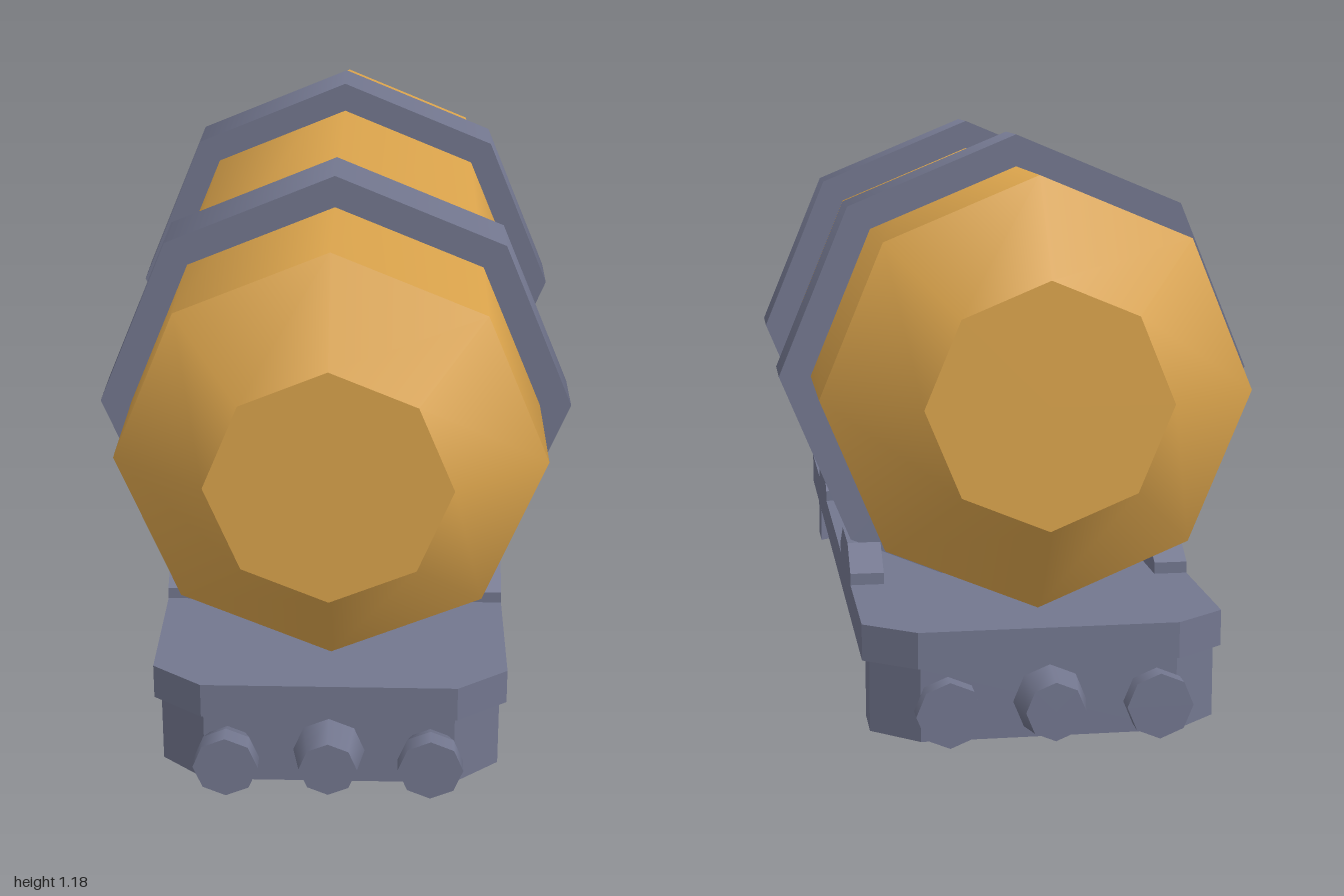
import * as THREE from 'three';

export function createModel() {
  const model = new THREE.Group();
  model.name = 'tankWagon';
  const amber = new THREE.MeshStandardMaterial({ color: 0xdba44c });
  amber.name = 'amber tank paint';
  const steel = new THREE.MeshStandardMaterial({ color: 0x73778f });
  steel.name = 'blue grey steel';

  const add = (name, geometry, material, parent = model) => {
    const mesh = new THREE.Mesh(geometry, material);
    mesh.name = name;
    parent.add(mesh);
    return mesh;
  };
  // Eight-sided drum or cone along z, with a corner at the top
  const drum = (rFront, rBack, z0, z1, open = false) =>
    new THREE.CylinderGeometry(rFront, rBack, z1 - z0, 8, 1, open)
      .rotateX(Math.PI / 2).translate(0, 0, (z0 + z1) / 2);
  // Plan outline of [x, z] points, extruded from y0 to y1
  const plate = (points, y0, y1) => {
    const shape = new THREE.Shape(points.map(([x, z]) => new THREE.Vector2(x, -z)));
    return new THREE.ExtrudeGeometry(shape, { depth: y1 - y0, bevelEnabled: false })
      .rotateX(-Math.PI / 2).translate(0, y0, 0);
  };
  // Rectangle plan with cut corners
  const cutRect = (x, z, cx, cz) => [
    [x, -cz], [x, cz], [cx, z], [-cx, z], [-x, cz], [-x, -cz], [-cx, -z], [cx, -z],
  ];

  // Tank shell with tapered ends
  const tank = new THREE.Group();
  tank.name = 'tank';
  tank.position.y = 0.67;
  model.add(tank);
  add('tankBody', drum(0.445, 0.445, -0.78, 0.78, true), amber, tank);
  for (const s of [1, -1]) {
    const end = add('tankEnd', drum(0.25, 0.445, 0.78, 0.925), amber, tank);
    if (s < 0) end.rotation.y = Math.PI;
    // Strap round the tank
    add('tankStrap', drum(0.513, 0.513, -0.0725, 0.0725), steel, tank).position.z = s * 0.407;
  }

  // Deck
  add('deck', plate(cutRect(0.37, 0.925, 0.265, 0.85), 0.15, 0.225), steel);

  // Saddles that hold the straps at the deck edges
  const saddleShape = new THREE.Shape([
    [-0.147, 0.22], [0.147, 0.22], [0.147, 0.25], [0.073, 0.3], [-0.073, 0.3], [-0.147, 0.25],
  ].map(([u, v]) => new THREE.Vector2(u, v)));
  const saddle = new THREE.ExtrudeGeometry(saddleShape, { depth: 0.072, bevelEnabled: false })
    .rotateY(Math.PI / 2).translate(-0.036, 0, 0);
  for (const x of [-0.334, 0.334])
    for (const z of [-0.407, 0.407]) add('saddle', saddle, steel).position.set(x, 0, z);

  // Underframe: broad upper block and a deep cross box with sloping ends
  add('underframeBlock', plate(cutRect(0.28, 0.26, 0.2, 0.11), 0.08, 0.15), steel);
  const boxShape = new THREE.Shape([
    [-0.2, 0], [0.2, 0], [0.29, 0.08], [0.29, 0.15], [-0.29, 0.15], [-0.29, 0.08],
  ].map(([u, v]) => new THREE.Vector2(u, v)));
  add('underframeBox', new THREE.ExtrudeGeometry(boxShape, { depth: 0.22, bevelEnabled: false })
    .translate(0, 0, -0.11), steel);

  // Bent bumper beam with two buffers and a central coupler at each end
  const beam = plate([
    [0.355, 0.75], [0.355, 0.845], [0.26, 0.925], [-0.26, 0.925],
    [-0.355, 0.845], [-0.355, 0.75], [-0.24, 0.835], [0.24, 0.835],
  ], 0, 0.15);
  for (const s of [1, -1]) {
    const bumper = new THREE.Group();
    bumper.name = s > 0 ? 'frontBumper' : 'backBumper';
    if (s < 0) bumper.rotation.y = Math.PI;
    model.add(bumper);
    add('bumperBeam', beam, steel, bumper);
    for (const x of [-0.21, 0.21]) {
      add('bufferHead', drum(0.067, 0.067, 0.96, 1), steel, bumper).position.set(x, 0.077, 0);
      add('bufferNeck', drum(0.067, 0.045, 0.91, 0.96, true), steel, bumper).position.set(x, 0.077, 0);
    }
    add('coupler', drum(0.06, 0.075, 0.92, 1), steel, bumper).position.y = 0.075;
  }
  return model;
}
